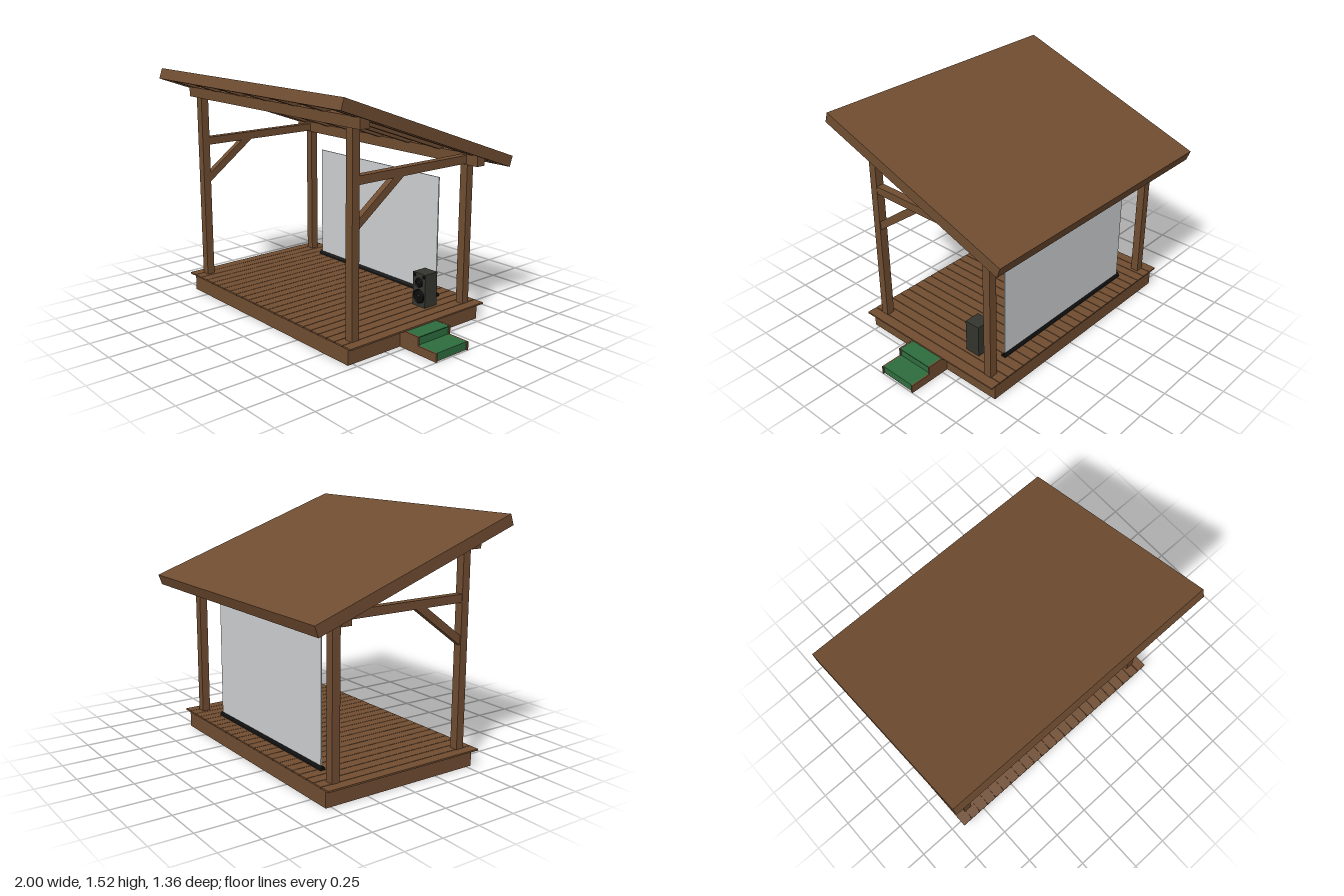
import * as THREE from 'three';

const material = (name, color) => {
  const m = new THREE.MeshStandardMaterial({ color });
  m.name = name;
  return m;
};

export function createModel() {
  const wood = material('brown wood', 0x704d31);
  const green = material('green tread', 0x2e6d3f);
  const cloth = material('screen grey', 0xcfd1d2);
  const cabinet = material('speaker charcoal', 0x35352f);
  const black = material('black', 0x0e0e0e);

  const model = new THREE.Group();
  model.name = 'stagePavilion';

  const group = (name, parent = model) => {
    const g = new THREE.Group();
    g.name = name;
    parent.add(g);
    return g;
  };
  const add = (parent, name, geometry, mat) => {
    const mesh = new THREE.Mesh(geometry, mat);
    mesh.name = name;
    parent.add(mesh);
    return mesh;
  };
  // Box given by its limits on each axis
  const box = (parent, name, mat, x0, x1, y0, y1, z0, z1) => {
    const mesh = add(parent, name, new THREE.BoxGeometry(x1 - x0, y1 - y0, z1 - z0), mat);
    mesh.position.set((x0 + x1) / 2, (y0 + y1) / 2, (z0 + z1) / 2);
    return mesh;
  };
  // Side outline of [z, y] points, extruded along x
  const sidePanel = (parent, name, mat, points, x0, x1) => {
    const shape = new THREE.Shape(points.map(([z, y]) => new THREE.Vector2(-z, y)));
    const geo = new THREE.ExtrudeGeometry(shape, { depth: x1 - x0, bevelEnabled: false });
    geo.rotateY(Math.PI / 2).translate(x0, 0, 0);
    return add(parent, name, geo, mat);
  };

  // Platform with planks running front to back
  const deck = group('deck');
  box(deck, 'deckBase', wood, -0.89, 0.71, 0, 0.106, -0.535, 0.535);
  const planks = 24, pitch = 1.684 / planks;
  for (let i = 0; i < planks; i++) {
    const x = -0.932 + i * pitch;
    box(deck, 'plank', wood, x + 0.002, x + pitch - 0.002, 0.106, 0.116, -0.547, 0.552);
  }

  // Posts, ties and braces on both sides
  const frame = group('frame');
  for (const x of [-0.841, 0.659]) {
    const a = x - 0.027, b = x + 0.027;
    box(frame, 'frontPost', wood, a, b, 0.116, 1.34, 0.434, 0.486);
    box(frame, 'backPost', wood, a, b, 0.116, 1.01, -0.479, -0.427);
    box(frame, 'tieBeam', wood, a + 0.002, b - 0.002, 1.012, 1.062, -0.43, 0.436);
    sidePanel(frame, 'brace', wood,
      [[0.436, 0.757], [0.09, 1.014], [0.17, 1.014], [0.436, 0.816]], x - 0.02, x + 0.02);
  }
  box(frame, 'frontBeam', wood, -0.938, 0.756, 1.328, 1.392, 0.428, 0.496);
  box(frame, 'backBeam', wood, -0.955, 0.77, 1.004, 1.074, -0.485, -0.419);

  // Sloping roof: sheet, edge boards and rafters
  const roof = group('roof');
  roof.position.set(-0.09, 1.249, 0);
  roof.rotation.x = -Math.atan(0.353);
  const h = 0.0345, w = 0.91, d = 0.7105, t = 0.02;
  box(roof, 'roofSheet', wood, -w, w, 0.018, h, -d, d);
  for (const s of [-1, 1]) {
    const x = s * (w - t / 2), z = s * (d - t / 2);
    box(roof, 'sideFascia', wood, x - t / 2, x + t / 2, -h, 0.018, -d, d);
    box(roof, 'endFascia', wood, -w + t, w - t, -h, 0.018, z - t / 2, z + t / 2);
  }
  for (let i = -3; i <= 3; i++) {
    const x = i * 0.267;
    box(roof, 'rafter', wood, x - 0.022, x + 0.022, -h + 0.002, 0.018, -d + t, d - t);
  }

  // Two green steps between wooden sides
  const steps = group('steps');
  box(steps, 'upperStep', green, 0.712, 0.85, 0.004, 0.1, -0.124, 0.124);
  box(steps, 'lowerStep', green, 0.85, 0.99, 0.004, 0.047, -0.124, 0.124);
  box(steps, 'upperTread', green, 0.712, 0.856, 0.1, 0.106, -0.124, 0.124);
  box(steps, 'lowerTread', green, 0.85, 0.994, 0.047, 0.053, -0.124, 0.124);
  box(steps, 'stepBottom', wood, 0.712, 0.99, 0, 0.004, -0.124, 0.124);
  for (const z of [-0.129, 0.129]) {
    box(steps, 'upperSide', wood, 0.711, 0.857, 0, 0.107, z - 0.005, z + 0.005);
    box(steps, 'lowerSide', wood, 0.857, 1, 0, 0.053, z - 0.005, z + 0.005);
  }

  // Projection screen in a floor bar
  const screen = group('projectionScreen');
  box(screen, 'screenSheet', cloth, -0.662, 0.482, 0.13, 0.894, -0.409, -0.401);
  sidePanel(screen, 'screenBar', black,
    [[-0.389, 0.116], [-0.392, 0.128], [-0.402, 0.141], [-0.408, 0.141], [-0.418, 0.128], [-0.421, 0.116]],
    -0.678, 0.495);

  // Loudspeaker with ring-edged drivers
  const speaker = group('speaker');
  box(speaker, 'cabinet', cabinet, 0.487, 0.592, 0.118, 0.332, -0.293, -0.189);
  const driver = (name, x, y, r) => {
    const disc = add(speaker, name, new THREE.CylinderGeometry(r, r, 0.006, 28), black);
    disc.rotation.x = Math.PI / 2;
    disc.position.set(x, y, -0.187);
    if (r < 0.02) return;
    const ring = add(speaker, name + 'Rim', new THREE.TorusGeometry(r * 0.85, 0.003, 8, 28), black);
    ring.position.set(x, y, -0.184);
    const cap = add(speaker, name + 'Cap', new THREE.SphereGeometry(r * 0.3, 16, 10), black);
    cap.scale.z = 0.4;
    cap.position.set(x, y, -0.184);
  };
  driver('woofer', 0.54, 0.183, 0.046);
  driver('midDriver', 0.54, 0.272, 0.031);
  for (const x of [0.502, 0.578]) driver('tweeter', x, 0.315, 0.011);

  return model;
}
